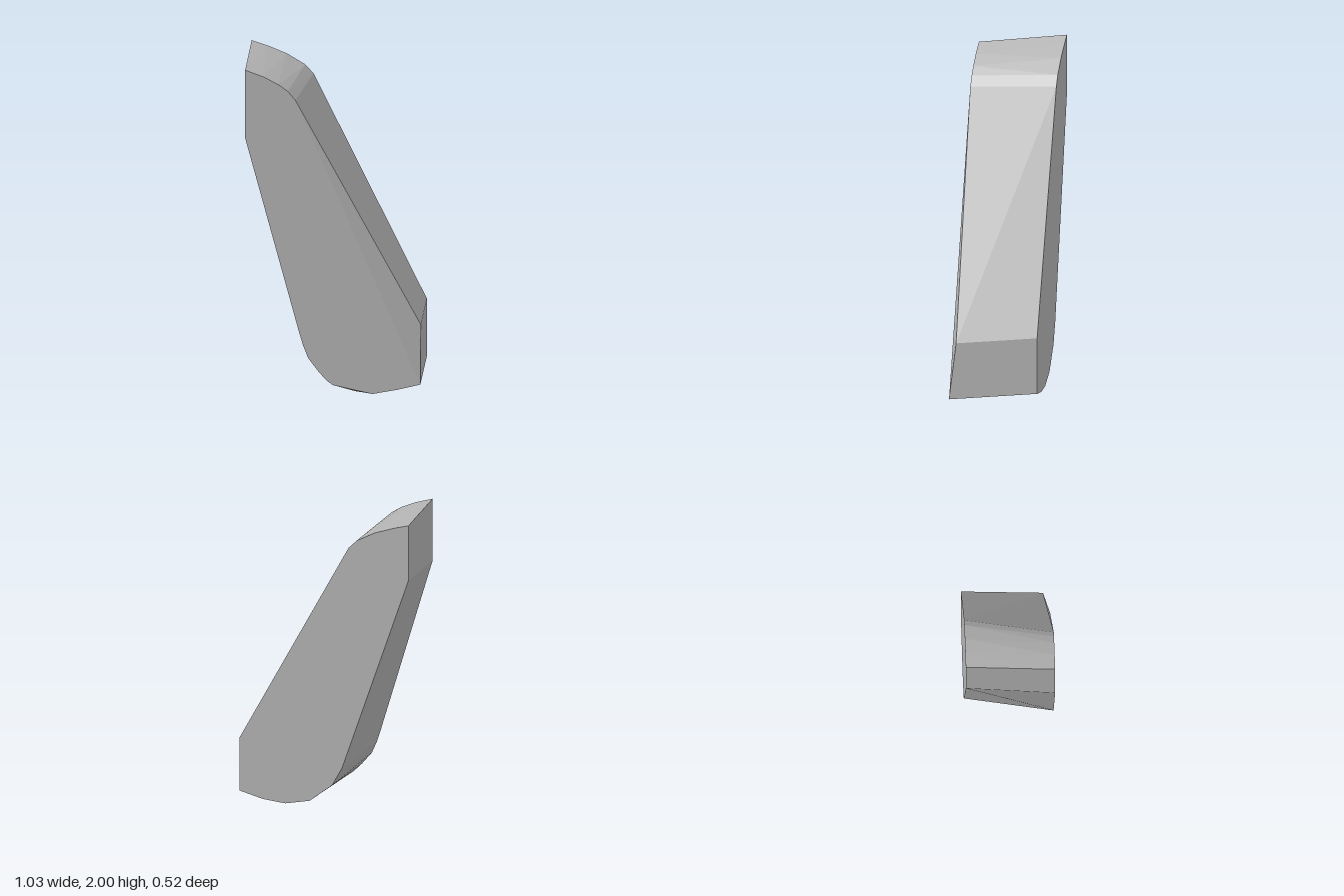
import * as THREE from 'three';
import { ConvexGeometry } from 'three/addons/geometries/ConvexGeometry.js';

// Outlines as [x, y, z?]; z falls back to the plane of the face.
const FRONT = [
  [-0.515, 1.925], [-0.41, 1.887], [-0.32, 1.842], [-0.265, 1.802], [-0.22, 1.75],
  [0.515, 0.41, 0.22], [0.515, 0.06], [0.38, 0.027], [0.235, 0],
  [0.13, 0.01, 0.235], [0, 0.05], [-0.035, 0.075], [-0.085, 0.13], [-0.145, 0.21],
  [-0.175, 0.285], [-0.2, 0.37], [-0.515, 1.52],
];
const BACK = [
  [-0.515, 2], [-0.42, 1.969], [-0.31, 1.925], [-0.2, 1.86], [-0.15, 1.805],
  [0.515, 0.47], [0.515, 0.125], [0.37, 0.088], [0.235, 0.078], [0.087, 0.115],
  [-0.05, 0.235], [-0.11, 0.355], [-0.515, 1.64],
];

const toPoints = (outline, faceZ) =>
  outline.map(([x, y, z = faceZ]) => new THREE.Vector3(x, y, z));

export function createModel() {
  const group = new THREE.Group();
  group.name = 'slantedBlock';

  const stone = new THREE.MeshStandardMaterial({ color: 0xb4b4b4 });
  stone.name = 'light grey';

  // Faceted slab spanning the front and back outlines
  const slab = new THREE.Mesh(
    new ConvexGeometry([...toPoints(FRONT, 0.262), ...toPoints(BACK, -0.262)]),
    stone
  );
  slab.name = 'slab';
  group.add(slab);
  return group;
}
